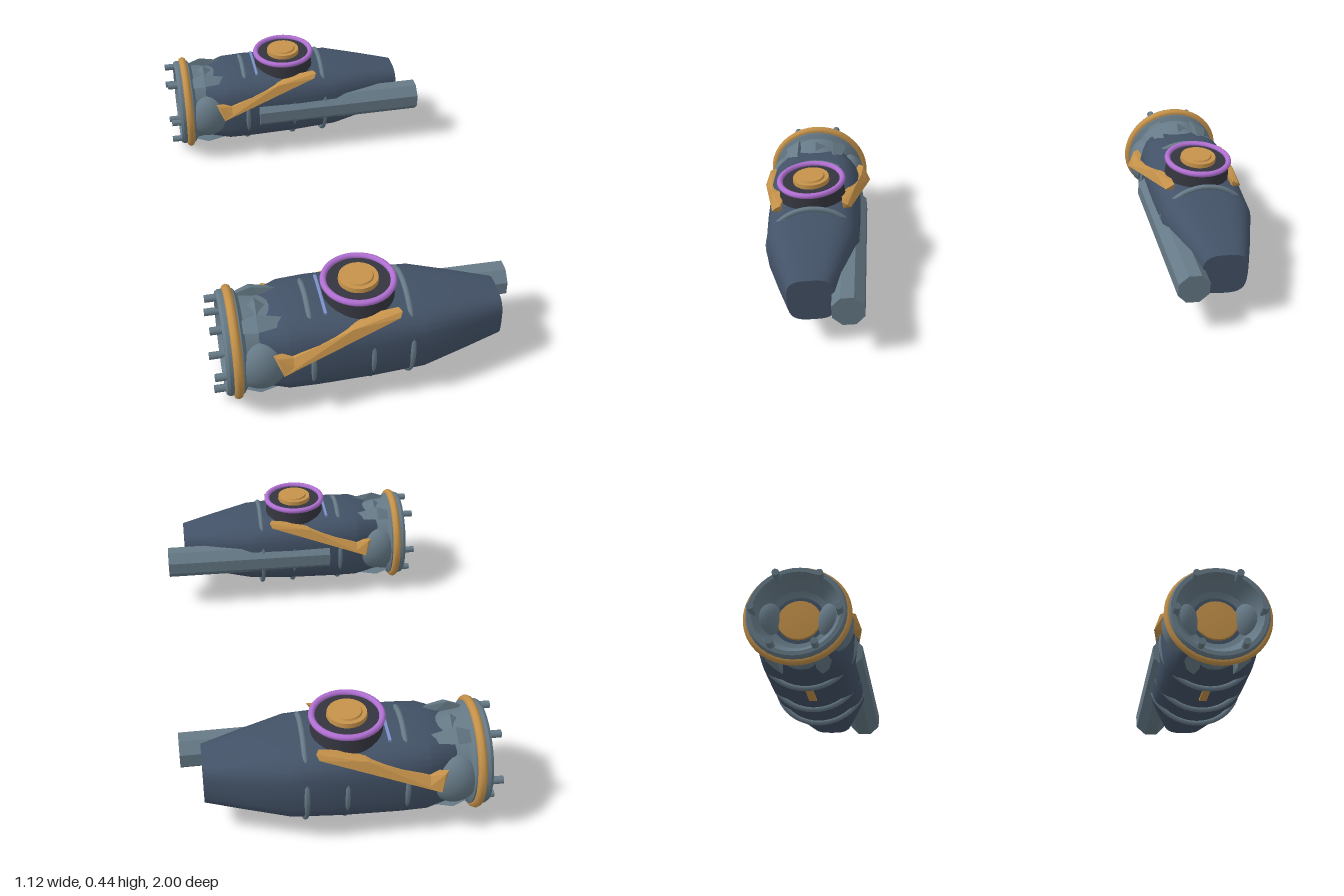
import * as THREE from 'three';
import { toCreasedNormals } from 'three/addons/utils/BufferGeometryUtils.js';
import { ConvexGeometry } from 'three/addons/geometries/ConvexGeometry.js';

const CY = 0.205; // height of the pod axis

function createMaterials() {
  const make = (name, color) => {
    const m = new THREE.MeshStandardMaterial({ color, side: THREE.DoubleSide });
    m.name = name;
    return m;
  };
  return {
    navy: make('navy hull', 0x435267),
    steel: make('steel', 0x667a87),
    gold: make('gold', 0xc5924a),
    dark: make('dark metal', 0x35353f),
    purple: make('purple', 0xb06fd2),
    blue: make('pale blue', 0x7d90cc),
  };
}

function add(parent, name, geometry, material, x = 0, y = 0, z = 0) {
  const mesh = new THREE.Mesh(geometry, material);
  mesh.name = name;
  mesh.position.set(x, y, z);
  parent.add(mesh);
  return mesh;
}

// Surface of revolution about the x axis, from [x, radius] pairs
function latheX(profile, segments = 36) {
  const pts = profile.map(([x, r]) => new THREE.Vector2(r, x));
  return toCreasedNormals(new THREE.LatheGeometry(pts, segments).rotateZ(-Math.PI / 2), 0.5);
}

// Hull: rounded-square sections [x, bottom, top, halfWidth] joined along x
function hullGeometry() {
  const stations = [
    [-0.44, 0.09, 0.32, 0.12], [-0.39, 0.066, 0.345, 0.145], [-0.3, 0.052, 0.37, 0.176],
    [-0.2, 0.055, 0.372, 0.183], [0, 0.062, 0.366, 0.184], [0.18, 0.075, 0.355, 0.18],
    [0.34, 0.1, 0.325, 0.134], [0.478, 0.12, 0.298, 0.09],
  ];
  const N = 32, pos = [], idx = [];
  const power = (v) => Math.sign(v) * Math.abs(v) ** (2 / 3.3);
  for (const [x, bottom, top, hz] of stations) {
    for (let j = 0; j < N; j++) {
      const t = (j / N) * Math.PI * 2;
      pos.push(x, (top + bottom) / 2 + ((top - bottom) / 2) * power(Math.sin(t)), hz * power(Math.cos(t)));
    }
  }
  for (let i = 0; i < stations.length - 1; i++) {
    for (let j = 0; j < N; j++) {
      const k = (j + 1) % N, a = i * N + j, b = i * N + k;
      idx.push(a, a + N, b, b, a + N, b + N);
    }
  }
  // End caps as fans
  const last = (stations.length - 1) * N;
  for (let j = 1; j < N - 1; j++) idx.push(0, j, j + 1, last, last + j + 1, last + j);
  const g = new THREE.BufferGeometry();
  g.setAttribute('position', new THREE.Float32BufferAttribute(pos, 3));
  g.setIndex(idx);
  return toCreasedNormals(g, 0.35);
}

function addEngine(pod, m) {
  // Flared collar with a hollow bowl
  add(pod, 'engineCollar', latheX([
    [-0.33, 0.15], [-0.445, 0.165], [-0.458, 0.185], [-0.51, 0.188], [-0.52, 0.182],
    [-0.52, 0.165], [-0.49, 0.15], [-0.45, 0.12], [-0.435, 0.085], [-0.435, 0],
  ]), m.steel, 0, CY);
  const rim = new THREE.TorusGeometry(0.186, 0.017, 8, 40).rotateY(Math.PI / 2);
  add(pod, 'engineRim', rim, m.gold, -0.48, CY);
  add(pod, 'engineCore', latheX([[-0.43, 0.085], [-0.448, 0.08], [-0.452, 0]], 24), m.gold, 0, CY);

  // Six pins around the rear lip
  for (let i = 0; i < 6; i++) {
    const a = (i * Math.PI) / 3;
    const pin = new THREE.CylinderGeometry(0.014, 0.014, 0.06, 10).rotateZ(Math.PI / 2);
    add(pod, 'rearPin', pin, m.steel, -0.53, CY + 0.163 * Math.sin(a), 0.163 * Math.cos(a));
  }

  // Faceted wedges above and below, slim brackets on the diagonals
  for (const s of [1, -1]) {
    const wedge = new THREE.OctahedronGeometry(1, 0).scale(0.055, 0.04, 0.065);
    add(pod, 'collarWedge', wedge, m.steel, -0.395, CY + s * 0.14, 0);
    for (const z of [1, -1]) {
      const bracket = new ConvexGeometry([
        [-0.45, 0.16, 0.07], [-0.45, 0.135, 0.11], [-0.4, 0.178, 0.07], [-0.4, 0.145, 0.125],
        [-0.3, 0.155, 0.075], [-0.3, 0.14, 0.1], [-0.43, 0.11, 0.06], [-0.32, 0.11, 0.06],
      ].map(([px, py, pz]) => new THREE.Vector3(px, py * s, pz * z)));
      add(pod, 'collarBracket', bracket, m.steel, 0, CY);
    }
    // Smooth side fairing
    const dome = new THREE.SphereGeometry(1, 24, 16).scale(0.09, 0.098, 0.07);
    add(pod, 'sideFairing', dome, m.steel, -0.395, CY, s * 0.128);
  }
}

function addTurret(pod, m) {
  const x = -0.03;
  add(pod, 'turretBase', new THREE.CylinderGeometry(0.122, 0.132, 0.09, 32), m.dark, x, 0.373, 0);
  add(pod, 'turretRing', new THREE.TorusGeometry(0.123, 0.0115, 10, 40).rotateX(Math.PI / 2), m.purple, x, 0.42, 0);
  add(pod, 'turretCapRim', new THREE.CylinderGeometry(0.07, 0.072, 0.02, 24), m.gold, x, 0.425, 0);
  add(pod, 'turretCap', new THREE.CylinderGeometry(0.05, 0.056, 0.01, 24), m.gold, x, 0.436, 0);
}

function addStruts(pod, m) {
  const heel = [
    [-0.36, 0.283, 0.175], [-0.345, 0.283, 0.195], [-0.33, 0.223, 0.22], [-0.325, 0.225, 0.17],
    [-0.28, 0.238, 0.21], [-0.29, 0.27, 0.185], [-0.3, 0.27, 0.15],
  ];
  const arm = [
    [-0.33, 0.223, 0.22], [-0.3, 0.268, 0.187], [-0.3, 0.265, 0.15], [-0.31, 0.23, 0.165],
    [-0.08, 0.343, 0.165], [-0.07, 0.35, 0.11], [0.085, 0.377, 0.12], [0.095, 0.372, 0.14],
    [0.085, 0.355, 0.153], [0.07, 0.34, 0.12],
  ];
  for (const s of [1, -1]) {
    for (const [name, pts] of [['strutHeel', heel], ['strutArm', arm]]) {
      add(pod, name, new ConvexGeometry(pts.map(([x, y, z]) => new THREE.Vector3(x, y, z * s))), m.gold);
    }
  }
}

// One pod; side +1 or -1 puts the barrel on the inner flank
function createPod(side, m) {
  const pod = new THREE.Group();
  pod.name = side > 0 ? 'frontPod' : 'rearPod';
  add(pod, 'hull', hullGeometry(), m.navy);
  addEngine(pod, m);
  addTurret(pod, m);
  addStruts(pod, m);

  // Rings that break the hull surface at its flats
  for (const x of [-0.22, -0.01, 0.13]) {
    const ring = new THREE.TorusGeometry(0.18, 0.0105, 8, 48).rotateY(Math.PI / 2);
    add(pod, 'hullRing', ring, m.steel, x, CY);
  }

  // Eight-sided barrel, angled slightly inwards
  const barrel = new THREE.CylinderGeometry(0.066, 0.066, 0.725, 8).toNonIndexed();
  barrel.rotateY(Math.PI / 8).rotateZ(-Math.PI / 2);
  barrel.computeVertexNormals();
  add(pod, 'barrel', barrel, m.steel, 0.192, CY, -side * 0.14).rotation.y = -side * 0.01;

  // Small trim
  add(pod, 'topStripe', new THREE.BoxGeometry(0.01, 0.009, 0.2), m.blue, -0.165, 0.371, 0);
  add(pod, 'bellyPlate', new THREE.BoxGeometry(0.11, 0.008, 0.03), m.gold, -0.09, 0.057, 0);
  pod.position.z = side * 0.78;
  return pod;
}

export function createModel() {
  const model = new THREE.Group();
  model.name = 'twinPods';
  const m = createMaterials();
  for (const side of [1, -1]) model.add(createPod(side, m));
  return model;
}
